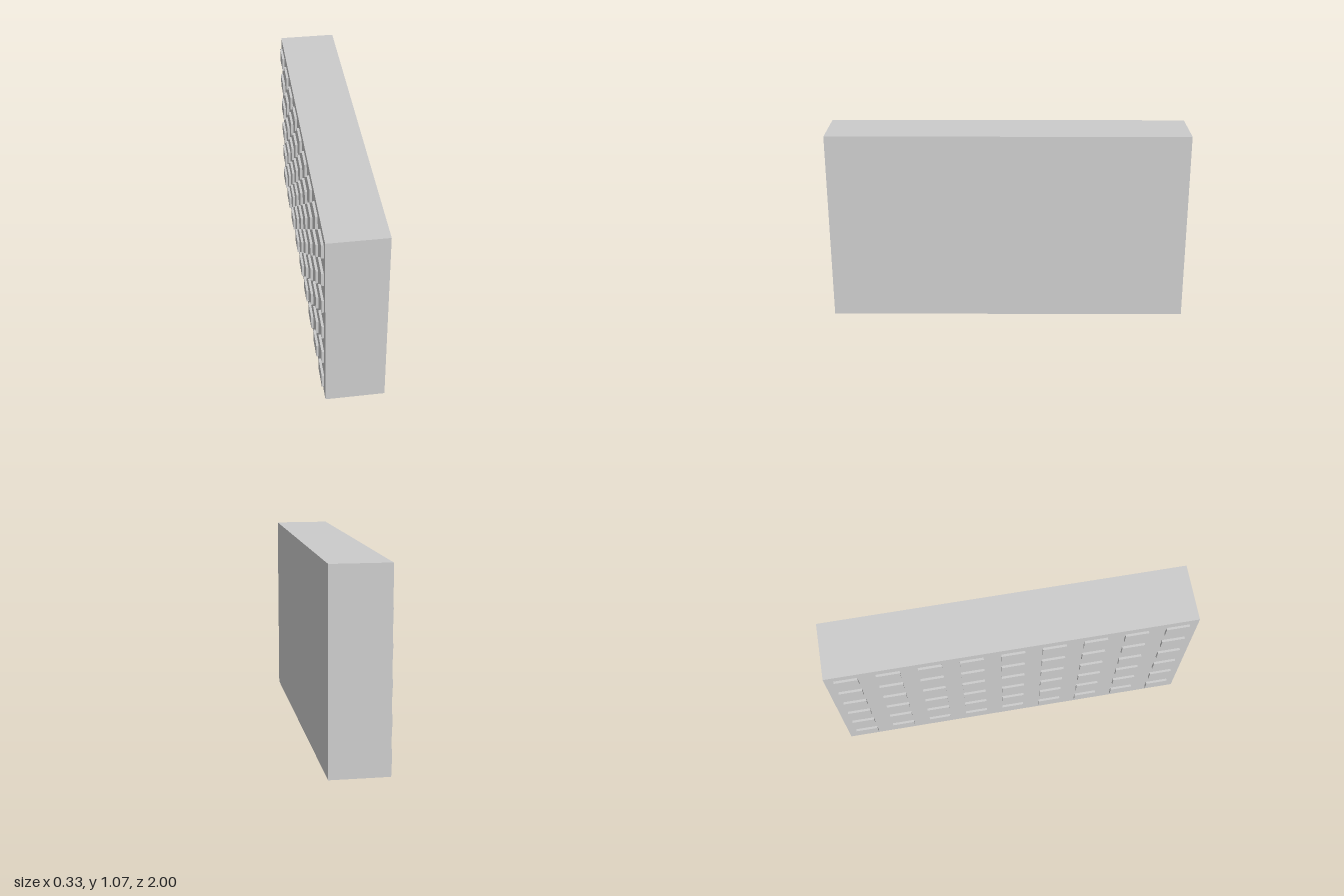
import * as THREE from 'three';

const HEIGHT = 1.07, LENGTH = 2, ROWS = 6, COLUMNS = 9;
const RIGHT = -0.165, LEFT = 0.165, PAD_DEPTH = 0.013;

export function createModel() {
  const model = new THREE.Group();
  const grey = new THREE.MeshStandardMaterial({ color: 0xcccccc });

  // Plain block
  const wallX = RIGHT + PAD_DEPTH;
  const block = new THREE.Mesh(new THREE.BoxGeometry(LEFT - wallX, HEIGHT, LENGTH), grey);
  block.name = 'block';
  block.position.set((LEFT + wallX) / 2, HEIGHT / 2, 0);
  model.add(block);

  // Grid of raised windows on one long wall, one centred in each cell
  const windows = new THREE.Group();
  windows.name = 'windows';
  const windowGeometry = new THREE.BoxGeometry(PAD_DEPTH, 0.08, 0.127);
  for (let row = 0; row < ROWS; row++) {
    for (let column = 0; column < COLUMNS; column++) {
      const pane = new THREE.Mesh(windowGeometry, grey);
      pane.name = 'window';
      pane.position.set(
        RIGHT + PAD_DEPTH / 2,
        (row + 0.5) * HEIGHT / ROWS,
        ((column + 0.5) / COLUMNS - 0.5) * LENGTH
      );
      windows.add(pane);
    }
  }
  model.add(windows);
  return model;
}
